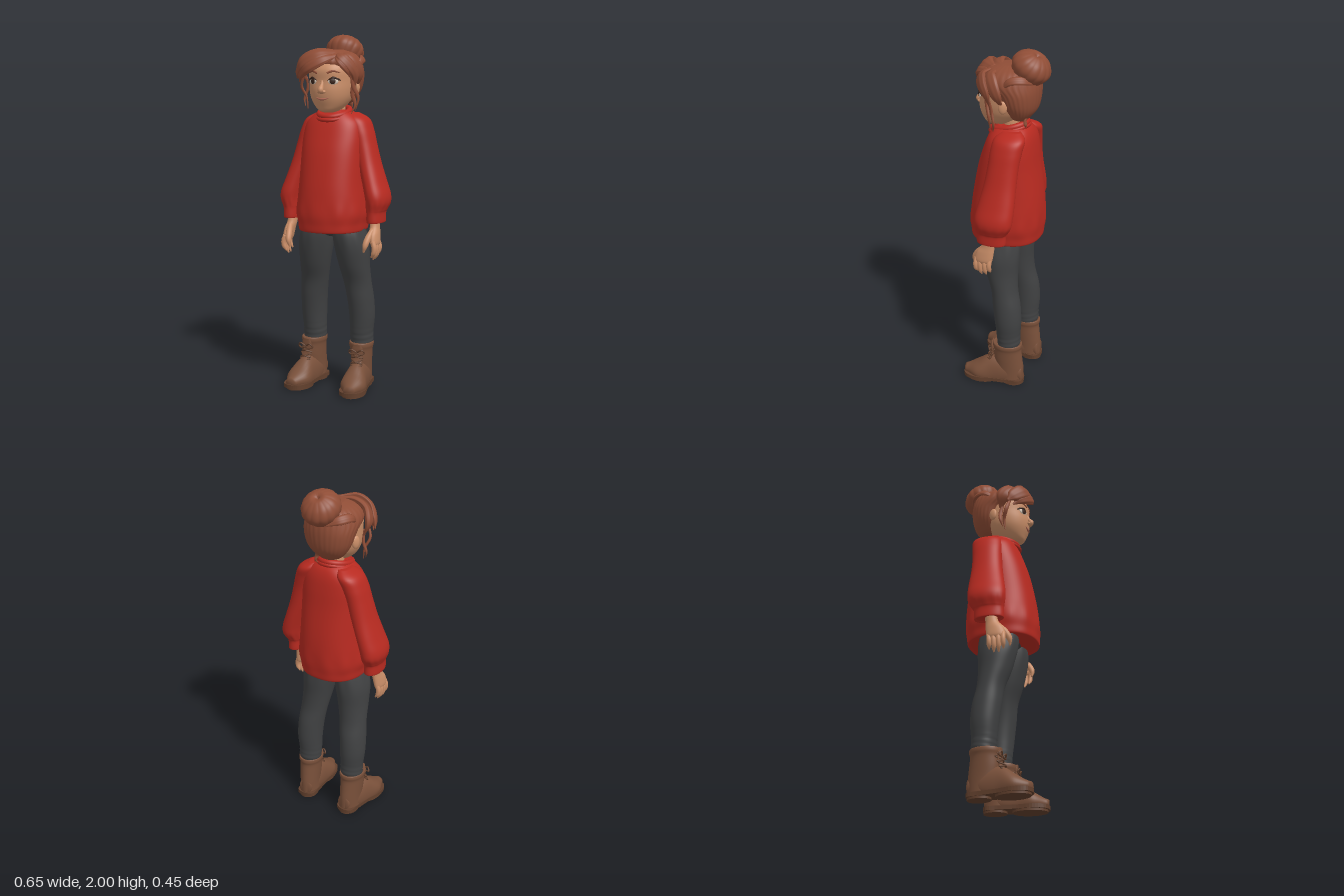
import * as THREE from 'three';

const mat = (name, color) => Object.assign(new THREE.MeshStandardMaterial({ color }), { name });
const V = (x, y, z) => new THREE.Vector3(x, y, z);

// Smooth interpolation through rows of numbers, t from 0 to 1
function spline(rows, t) {
  const n = rows.length - 1, i = Math.min(n - 1, Math.floor(t * n)), f = t * n - i;
  const at = k => rows[Math.max(0, Math.min(n, k))];
  return rows[i].map((b, k) => {
    const a = at(i - 1)[k], c = at(i + 1)[k], d = at(i + 2)[k];
    return 0.5 * (2 * b + (c - a) * f + (2 * a - 5 * b + 4 * c - d) * f * f + (3 * b - a - 3 * c + d) * f ** 3);
  });
}

// Closed surface through rings of points, with both ends capped
function skin(rings) {
  const m = rings[0].length, n = rings.length, pos = [], idx = [];
  rings.forEach(r => r.forEach(p => pos.push(p.x, p.y, p.z)));
  for (const r of [rings[0], rings[n - 1]]) {
    const c = V(0, 0, 0);
    r.forEach(p => c.addScaledVector(p, 1 / m));
    pos.push(c.x, c.y, c.z);
  }
  for (let j = 0; j < m; j++) {
    const k = (j + 1) % m, top = (n - 1) * m;
    for (let i = 0; i < n - 1; i++) {
      const a = i * m + j, b = i * m + k;
      idx.push(a, a + m, b, b, a + m, b + m);
    }
    idx.push(n * m, j, k, n * m + 1, top + k, top + j);
  }
  const g = new THREE.BufferGeometry();
  g.setAttribute('position', new THREE.Float32BufferAttribute(pos, 3));
  g.setIndex(idx);
  g.computeVertexNormals();
  return g;
}

// Upright body from rows [y, centre x, centre z, radius x, radius z]
function loft(rows, { e = 1, warp = () => 1, m = 48, sub = 6 } = {}) {
  const rings = [], n = (rows.length - 1) * sub;
  const pw = v => Math.sign(v) * Math.abs(v) ** e;
  for (let i = 0; i <= n; i++) {
    const [y, cx, cz, rx, rz] = spline(rows, i / n), ring = [];
    for (let j = 0; j < m; j++) {
      const a = j / m * Math.PI * 2, w = warp(a, y);
      ring.push(V(cx + rx * w * pw(Math.cos(a)), y, cz + rz * w * pw(Math.sin(a))));
    }
    rings.push(ring);
  }
  return skin(rings);
}

// Strand along a path with varying half width and half thickness
function sweep(points, w, h, up, n = 24, m = 12, groove = 0) {
  const curve = new THREE.CatmullRomCurve3(points.map(p => V(...p)));
  const ws = w.map(v => [v]), hs = h.map(v => [v]), rings = [];
  for (let i = 0; i <= n; i++) {
    const t = i / n, p = curve.getPoint(t), T = curve.getTangent(t);
    const N = up(p).clone();
    N.addScaledVector(T, -N.dot(T)).normalize();
    const S = T.clone().cross(N), rw = Math.max(0.001, spline(ws, t)[0]), rh = Math.max(0.001, spline(hs, t)[0]);
    rings.push(Array.from({ length: m }, (_, j) => {
      const a = j / m * Math.PI * 2, k = 1 + groove * Math.cos(a * m / 4);
      return p.clone().addScaledVector(S, rw * k * Math.cos(a)).addScaledVector(N, rh * k * Math.sin(a));
    }));
  }
  return skin(rings);
}

export function createModel() {
  const root = new THREE.Group();
  root.name = 'girl';
  const red = mat('red knit', 0xb72a20), skinTone = mat('skin', 0xcb8f69), hair = mat('auburn hair', 0x8f4d36);
  const cloth = mat('charcoal trousers', 0x404142), leather = mat('brown leather', 0x79503a), sole = mat('dark leather', 0x62402d);
  const white = mat('eye white', 0xd8c8b8), dark = mat('dark eye', 0x3a251c), lip = mat('lip', 0xb06a56);
  const add = (name, geo, m, parent = root) => {
    const o = new THREE.Mesh(geo, m);
    o.name = name;
    parent.add(o);
    return o;
  };
  const ball = (name, m, p, s, parent = root) => {
    const o = add(name, new THREE.SphereGeometry(1, 28, 18), m, parent);
    o.position.set(...p);
    o.scale.set(...s);
    return o;
  };
  const bell = (y, c, w) => Math.exp(-(((y - c) / w) ** 2));

  // Sweater
  add('sweaterBody', loft([
    [0.925, 0, 0.02, 0.165, 0.18], [0.922, 0, 0.02, 0.184, 0.198], [0.965, 0, 0.019, 0.19, 0.203],
    [1.02, 0, 0.018, 0.2, 0.207], [1.1, 0, 0.015, 0.195, 0.203], [1.2, 0, 0.012, 0.187, 0.192],
    [1.35, 0, 0.007, 0.182, 0.166], [1.45, 0, -0.003, 0.178, 0.145], [1.52, 0, -0.01, 0.162, 0.126],
    [1.565, 0, -0.012, 0.12, 0.105], [1.59, 0, -0.01, 0.08, 0.08]],
  { e: 0.85, m: 72, warp: (a, y) => 1 + 0.014 * Math.cos(11 * a + 1) * bell(y, 1.02, 0.06) }), red);
  for (const [r, y, t] of [[0.082, 1.578, 0.017], [0.092, 1.562, 0.012]]) {
    const collar = add('collar', new THREE.TorusGeometry(r, t, 12, 48), red);
    collar.scale.y = 1.18;
    collar.rotation.x = Math.PI / 2 + 0.24;
    collar.position.set(0, y, 0.008);
  }

  // Hips
  ball('hips', cloth, [0, 0.96, 0.015], [0.17, 0.085, 0.11]);

  for (const s of [1, -1]) {
    const side = s > 0 ? 'left' : 'right';
    const mir = pts => pts.map(([x, y, z]) => [x * s, y, z]);
    const mirRows = rows => rows.map(([y, x, ...r]) => [y, x * s, ...r]);

    // Sleeve with gathered cuff
    add(side + 'Sleeve', loft(mirRows([
      [0.98, 0.257, 0.012, 0.036, 0.07], [0.975, 0.257, 0.012, 0.046, 0.083], [1.025, 0.257, 0.012, 0.047, 0.084],
      [1.045, 0.259, 0.008, 0.052, 0.09], [1.085, 0.264, 0, 0.061, 0.105], [1.13, 0.258, -0.003, 0.064, 0.108],
      [1.2, 0.236, -0.01, 0.061, 0.102], [1.3, 0.203, -0.018, 0.06, 0.091], [1.4, 0.175, -0.025, 0.06, 0.086],
      [1.48, 0.15, -0.032, 0.062, 0.088], [1.54, 0.122, -0.04, 0.06, 0.085], [1.575, 0.09, -0.04, 0.03, 0.05]]),
    { e: 0.92, warp: (a, y) => 1 + 0.022 * Math.cos(12 * a) * bell(y, 1.06, 0.03) }), red);

    // Hand: palm, four fingers and thumb
    const hand = new THREE.Group();
    hand.name = side + 'Hand';
    root.add(hand);
    add('palm', loft(mirRows([[0.845, 0.27, 0.056, 0.015, 0.043], [0.865, 0.27, 0.055, 0.023, 0.053],
      [0.91, 0.264, 0.046, 0.026, 0.05], [0.95, 0.257, 0.03, 0.027, 0.037], [1.0, 0.255, 0.02, 0.027, 0.034]]), { m: 24 }), skinTone, hand);
    const outward = () => V(s, 0, 0);
    [[0.095, 0.785], [0.069, 0.768], [0.042, 0.77], [0.016, 0.79]].forEach(([z, tip]) => {
      add('finger', sweep(mir([[0.27, 0.875, z], [0.28, 0.84, z + 0.003], [0.277, (0.84 + tip) / 2, z + 0.003], [0.262, tip, z]]),
        [0.013, 0.014, 0.0135, 0.012, 0.004], [0.013, 0.014, 0.0135, 0.012, 0.004], outward, 14), skinTone, hand);
    });
    add('thumb', sweep(mir([[0.256, 0.935, 0.06], [0.244, 0.89, 0.1], [0.236, 0.85, 0.122], [0.228, 0.815, 0.122]]),
      [0.015, 0.018, 0.015, 0.005], [0.015, 0.018, 0.015, 0.005], outward, 16), skinTone, hand);

    // Trouser leg
    add(side + 'Leg', loft(mirRows([
      [0.24, 0.15, -0.04, 0.058, 0.06], [0.275, 0.148, -0.047, 0.066, 0.067], [0.33, 0.148, -0.044, 0.067, 0.07],
      [0.42, 0.151, -0.042, 0.073, 0.078], [0.52, 0.146, -0.032, 0.076, 0.081], [0.62, 0.134, -0.015, 0.08, 0.077],
      [0.72, 0.122, 0.005, 0.088, 0.092], [0.82, 0.112, 0.015, 0.097, 0.108], [0.9, 0.1, 0.02, 0.094, 0.112], [0.97, 0.088, 0.02, 0.085, 0.1]]),
    { warp: (a, y) => 1 + 0.02 * Math.sin(y * 190 + 2 * Math.sin(a)) * bell(y, 0.31, 0.045) + 0.018 * Math.cos(9 * a) * bell(y, 0.88, 0.07) }), cloth);

    // Boot, toe turned slightly out
    const boot = new THREE.Group();
    boot.name = side + 'Boot';
    boot.position.set(0.148 * s, 0, -0.05);
    boot.rotation.y = 0.12 * s;
    root.add(boot);
    const half = [[0.05, -0.07], [0.056, 0], [0.062, 0.1], [0.074, 0.19], [0.05, 0.26]];
    const outline = [[0, -0.088], ...half, [0, 0.278], ...half.map(([x, z]) => [-x, z]).reverse()];
    const edge = new THREE.CatmullRomCurve3(outline.map(([x, z]) => V(x, -z, 0)), true).getPoints(60).slice(0, 60);
    const slab = new THREE.ExtrudeGeometry(new THREE.Shape(edge.map(p => new THREE.Vector2(p.x, p.y))), { depth: 0.022, bevelEnabled: false });
    slab.rotateX(-Math.PI / 2);
    add('sole', slab, sole, boot).position.y = 0.012;
    for (const [z, rx, rz] of [[-0.02, 0.053, 0.066], [0.17, 0.068, 0.098]]) {
      const pad = add('tread', new THREE.CylinderGeometry(1, 1, 0.022, 32), sole, boot);
      pad.scale.set(rx, 1, rz);
      pad.position.set(0, 0.011, z);
    }
    const upper = sweep([[0, 0.07, -0.078], [0, 0.07, 0], [0, 0.06, 0.1], [0, 0.05, 0.19], [0, 0.042, 0.27]],
      [0.036, 0.055, 0.061, 0.071, 0.03], [0.05, 0.09, 0.105, 0.06, 0.026], () => V(0, 1, 0), 28, 28);
    const up = upper.attributes.position;
    for (let i = 0; i < up.count; i++) up.setY(i, Math.max(0.02, up.getY(i)));
    upper.computeVertexNormals();
    add('upper', upper, leather, boot);
    add('shaft', loft([[0.03, 0, 0, 0.054, 0.082], [0.1, 0, 0, 0.055, 0.083], [0.17, 0, 0.008, 0.059, 0.084],
      [0.225, 0, 0.012, 0.063, 0.082], [0.25, 0, 0.012, 0.069, 0.087], [0.268, 0, 0.012, 0.067, 0.085], [0.266, 0, 0.012, 0.056, 0.074]]), leather, boot);
    add('tongue', sweep([[0, 0.13, 0.125], [0, 0.18, 0.1], [0, 0.24, 0.098], [0, 0.268, 0.102]], [0.025, 0.03, 0.032, 0.02],
      [0.008, 0.008, 0.008, 0.004], () => V(0, 0, 1)), leather, boot);
    const r3 = [0.0045, 0.0045];
    for (let i = 0; i < 4; i++) for (const d of [1, -1]) {
      const y = 0.128 + i * 0.03, z = 0.142 - i * 0.013;
      add('lace', sweep([[-0.034 * d, y, z - 0.022], [0, y + 0.012, z], [0.034 * d, y + 0.024, z - 0.028]], r3, r3, () => V(0, 0, 1), 8, 8), sole, boot);
    }
    for (const d of [1, -1]) {
      add('bowLoop', sweep([[0, 0.222, 0.11], [0.03 * d, 0.24, 0.118], [0.046 * d, 0.222, 0.108], [0.025 * d, 0.212, 0.116], [0, 0.22, 0.112]],
        r3, r3, () => V(0, 0, 1), 18, 8), sole, boot);
    }
  }

  // Neck and head
  add('neck', new THREE.CylinderGeometry(0.05, 0.058, 0.16, 32), skinTone).position.set(0, 1.59, -0.008);
  const head = add('head', loft([
    [1.578, 0, 0.085, 0.025, 0.03], [1.588, 0, 0.075, 0.053, 0.066], [1.615, 0, 0.06, 0.083, 0.095], [1.655, 0, 0.042, 0.108, 0.128],
    [1.7, 0, 0.03, 0.121, 0.146], [1.75, 0, 0.022, 0.126, 0.15], [1.81, 0, 0.018, 0.126, 0.154],
    [1.86, 0, 0.008, 0.106, 0.13], [1.89, 0, 0, 0.06, 0.08], [1.9, 0, 0, 0.02, 0.02]], { e: 0.92 }), skinTone);
  head.updateMatrixWorld(true);
  const ray = new THREE.Raycaster();
  const onFace = (x, y) => {
    ray.set(V(x, y, 1), V(0, 0, -1));
    return ray.intersectObject(head)[0];
  };
  const fz = (x, y, lift = 0.002) => [x, y, onFace(x, y).point.z + lift];
  const front = () => V(0, 0, 1);
  for (const s of [1, -1]) {
    const hit = onFace(0.06 * s, 1.748);
    const eye = new THREE.Group();
    eye.name = 'eye';
    eye.position.copy(hit.point);
    eye.lookAt(hit.point.clone().add(hit.face.normal));
    root.add(eye);
    ball('eyeWhite', white, [0, 0, 0], [0.029, 0.017, 0.006], eye);
    ball('iris', dark, [-0.003 * s, 0.001, 0.003], [0.018, 0.016, 0.0055], eye);
    add('lash', sweep([fz(0.033 * s, 1.752), fz(0.06 * s, 1.768, 0.005), fz(0.085 * s, 1.758), fz(0.094 * s, 1.752)],
      [0.002, 0.005, 0.005, 0.002], [0.002, 0.004, 0.004, 0.002], front), dark);
    add('eyebrow', sweep([fz(0.03 * s, 1.792), fz(0.06 * s, 1.803), fz(0.092 * s, 1.793)], [0.005, 0.006, 0.002], [0.004, 0.004, 0.002], front), hair);
    const ear = ball('ear', skinTone, [0.133 * s, 1.715, -0.005], [0.013, 0.036, 0.024]);
    ear.rotation.y = 0.35 * s;
    ball('nostril', skinTone, [0.014 * s, 1.692, 0.179], [0.011, 0.009, 0.011]);
  }
  add('nose', sweep([[0, 1.76, 0.164], [0, 1.725, 0.175], [0, 1.7, 0.19], [0, 1.684, 0.176]], [0.008, 0.011, 0.016, 0.01], [0.006, 0.011, 0.016, 0.008], front), skinTone);
  add('mouth', sweep([-0.036, -0.015, 0, 0.015, 0.036].map(x => fz(x, 1.652 + 5 * x * x)), [0.002, 0.006, 0.007, 0.006, 0.002], [0.002, 0.005, 0.006, 0.005, 0.002], front), lip);

  // Hair cap, combed in fine grooves
  add('hairCap', loft([
    [1.615, 0, -0.06, 0.04, 0.03], [1.635, 0, -0.06, 0.08, 0.05], [1.675, 0, -0.06, 0.112, 0.082], [1.72, 0, -0.057, 0.134, 0.1],
    [1.78, 0, -0.043, 0.147, 0.121], [1.83, 0, -0.006, 0.15, 0.156], [1.87, 0, 0, 0.134, 0.152],
    [1.9, 0, 0, 0.1, 0.122], [1.92, 0, 0, 0.045, 0.06]],
  { e: 0.95, m: 120, warp: a => 1 + 0.009 * Math.cos(30 * a) }), hair);

  // Bun with swirled grooves
  const bun = add('bun', loft([[-0.082, 0, 0, 0.03, 0.03], [-0.06, 0, 0, 0.078, 0.078], [0, 0, 0, 0.105, 0.108], [0.05, 0, 0, 0.088, 0.088],
    [0.079, 0, 0, 0.045, 0.045], [0.078, 0, 0, 0.018, 0.018], [0.066, 0, 0, 0.004, 0.004]],
  { m: 112, warp: (a, y) => 0.985 + 0.035 * Math.abs(Math.cos(7 * a + 14 * y)) }), hair);
  bun.position.set(0.008, 1.912, -0.115);
  bun.rotation.x = -0.5;

  // Swept fringe, side locks, coils round the bun and loose wisps
  const fromHead = p => p.clone().sub(V(0, 1.76, -0.01));
  const locks = [
    [[[0.05, 1.9, 0.085], [-0.03, 1.89, 0.16], [-0.11, 1.85, 0.168], [-0.162, 1.8, 0.128], [-0.186, 1.765, 0.1]], [0.02, 0.048, 0.052, 0.04, 0.006]],
    [[[0.06, 1.885, 0.12], [0, 1.865, 0.178], [-0.07, 1.83, 0.195], [-0.13, 1.79, 0.165], [-0.16, 1.745, 0.125]], [0.012, 0.036, 0.042, 0.032, 0.005]],
    [[[0.05, 1.905, 0.04], [-0.05, 1.9, 0.1], [-0.125, 1.865, 0.105], [-0.165, 1.81, 0.07], [-0.15, 1.74, 0.045]], [0.02, 0.045, 0.05, 0.045, 0.008]],
    [[[0.05, 1.9, 0.085], [0.098, 1.875, 0.125], [0.138, 1.83, 0.108], [0.156, 1.78, 0.08], [0.143, 1.71, 0.065]], [0.012, 0.032, 0.034, 0.026, 0.005]],
    [[[0.05, 1.9, 0.05], [0.11, 1.88, 0.075], [0.148, 1.84, 0.05], [0.158, 1.78, 0.02], [0.135, 1.72, 0]], [0.015, 0.036, 0.038, 0.03, 0.006]],
    [[[0.055, 1.892, 0.115], [0.095, 1.855, 0.145], [0.13, 1.81, 0.125], [0.14, 1.765, 0.1]], [0.008, 0.02, 0.02, 0.004]],
    [[[-0.135, 1.83, 0], [-0.14, 1.87, -0.06], [-0.11, 1.87, -0.12], [-0.04, 1.84, -0.16]], [0.008, 0.022, 0.024, 0.008]],
    [[[0.14, 1.82, 0], [0.142, 1.865, -0.05], [0.115, 1.87, -0.11], [0.05, 1.84, -0.16]], [0.008, 0.02, 0.022, 0.008]]];
  locks.forEach(([p, w]) => add('hairLock', sweep(p, w, w.map(v => v * 0.42), fromHead, 32, 32, 0.05), hair));
  for (const p of [
    [[-0.14, 1.79, 0.1], [-0.166, 1.72, 0.085], [-0.145, 1.66, 0.065], [-0.135, 1.595, 0.07]],
    [[-0.145, 1.77, 0.06], [-0.15, 1.7, 0.045], [-0.165, 1.65, 0.05], [-0.155, 1.61, 0.06]],
    [[0.14, 1.78, 0.09], [0.145, 1.72, 0.08], [0.166, 1.66, 0.06], [0.15, 1.59, 0.06]],
    [[0.14, 1.75, 0.07], [0.13, 1.68, 0.06], [0.142, 1.62, 0.045], [0.122, 1.57, 0.055]],
    [[0.03, 1.66, -0.11], [0.05, 1.63, -0.1], [0.055, 1.605, -0.105], [0.045, 1.59, -0.1]]]) {
    add('hairWisp', sweep(p, [0.008, 0.012, 0.009, 0.002], [0.006, 0.008, 0.006, 0.002], fromHead, 20, 10), hair);
  }
  return root;
}
